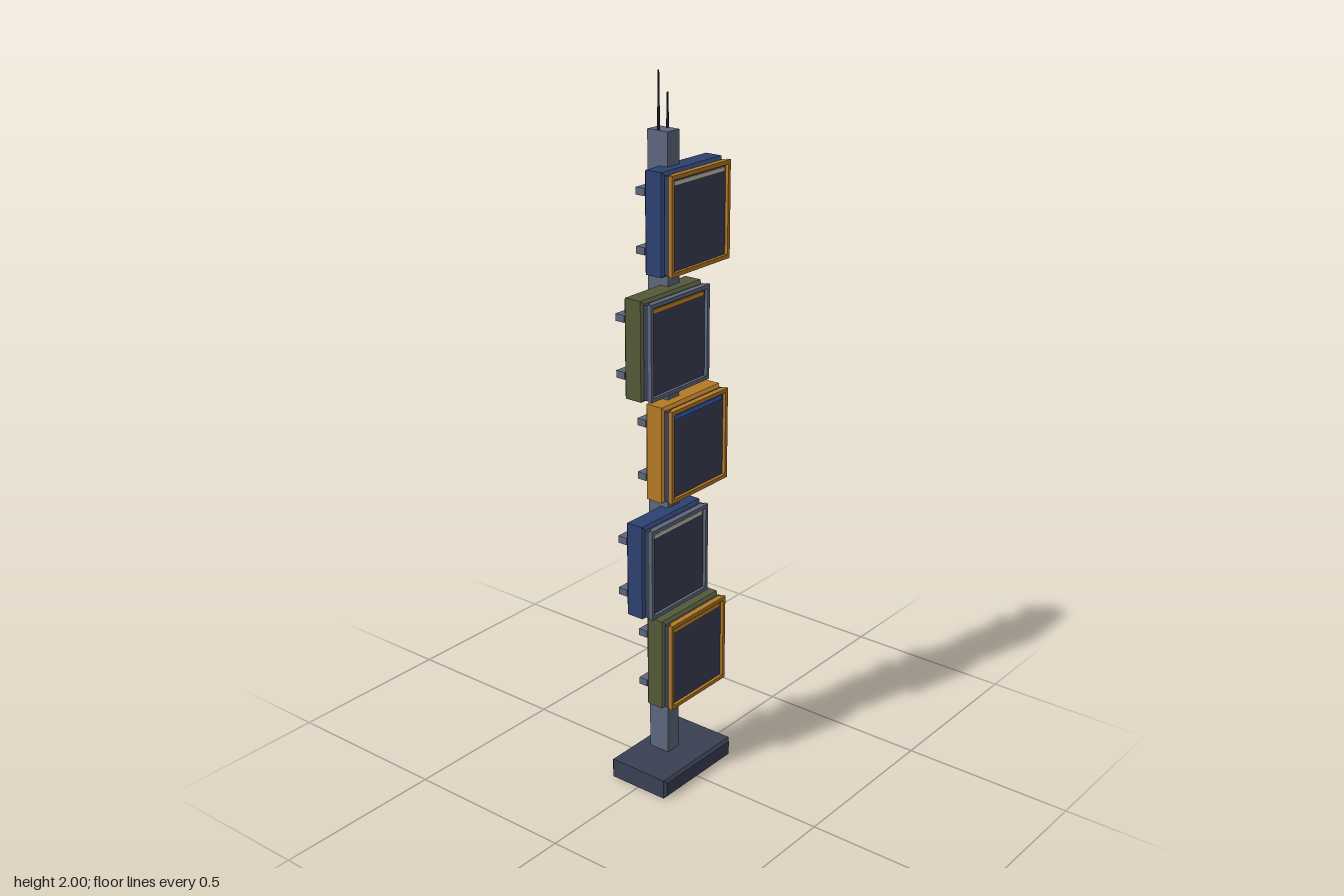
import * as THREE from 'three';

const mat = (name, color) => {
  const m = new THREE.MeshStandardMaterial({ color });
  m.name = name;
  return m;
};

export function createModel() {
  const M = {
    dark: mat('dark slate', 0x3a4054),
    grey: mat('steel grey', 0x5d677d),
    navy: mat('navy', 0x2d4070),
    olive: mat('olive', 0x535938),
    amber: mat('amber', 0xb47a26),
    orange: mat('bright orange', 0xd08c22),
    cream: mat('cream', 0xc9c5b2),
    blue: mat('bright blue', 0x3565c0),
    black: mat('cable black', 0x1e2027),
  };
  const model = new THREE.Group();
  model.name = 'signalTower';

  const add = (parent, name, geometry, material, x = 0, y = 0, z = 0) => {
    const mesh = new THREE.Mesh(geometry, material);
    mesh.name = name;
    mesh.position.set(x, y, z);
    parent.add(mesh);
    return mesh;
  };
  const box = (w, h, d) => new THREE.BoxGeometry(w, h, d);

  // Box with a single flat chamfer on every edge
  const chamferBox = (w, h, d, c) => {
    const a = w / 2 - c, b = h / 2 - c;
    const shape = new THREE.Shape([[-a, -b], [a, -b], [a, b], [-a, b]].map(p => new THREE.Vector2(...p)));
    const g = new THREE.ExtrudeGeometry(shape, {
      depth: d - 2 * c, bevelEnabled: true, bevelSegments: 1, bevelSize: c, bevelThickness: c,
    });
    return g.translate(0, 0, c - d / 2);
  };

  // Straight round cable section between two points
  const rod = (parent, name, a, b, r) => {
    const dir = b.clone().sub(a);
    const mesh = add(parent, name, new THREE.CylinderGeometry(r, r, dir.length(), 8), M.black);
    mesh.position.copy(a).lerp(b, 0.5);
    mesh.quaternion.setFromUnitVectors(new THREE.Vector3(0, 1, 0), dir.normalize());
  };

  // Base and post
  add(model, 'base', chamferBox(0.3, 0.057, 0.2, 0.008), M.dark, 0, 0.0285, 0);
  add(model, 'post', box(0.048, 1.797, 0.066), M.grey, 0, 0.9515, -0.026);

  // Antennas on top of the post
  for (const [x, top] of [[-0.018, 2], [0.018, 1.94]]) {
    const h = top - 1.84;
    add(model, 'antenna', new THREE.CylinderGeometry(0.002, 0.004, h, 8), M.black, x, 1.84 + h / 2, -0.027);
  }

  // Staggered cabinets: side, centre height, body, frame and stripe colours
  const cabinets = [
    [1, 0.372, M.olive, M.amber, M.orange],
    [-1, 0.687, M.navy, M.grey, M.cream],
    [1, 1.0, M.amber, M.amber, M.blue],
    [-1, 1.312, M.olive, M.grey, M.orange],
    [1, 1.625, M.navy, M.amber, M.cream],
  ];
  for (const [side, y, body, frame, stripe] of cabinets) {
    const g = new THREE.Group();
    g.name = 'cabinet';
    g.position.set(side * 0.042, y, 0);
    model.add(g);

    add(g, 'cabinetBody', chamferBox(0.247, 0.272, 0.066, 0.008), body, 0, 0, 0.007);
    add(g, 'doorPanel', box(0.241, 0.256, 0.016), M.dark, 0, 0, 0.048);
    add(g, 'doorStripe', box(0.207, 0.011, 0.004), stripe, 0, 0.108, 0.057);

    // Door frame and rear mounting rails
    for (const s of [-1, 1]) {
      add(g, 'frameBar', box(0.222, 0.011, 0.017), frame, 0, s * 0.1255, 0.0565);
      add(g, 'frameSide', box(0.01, 0.262, 0.01), frame, s * 0.116, 0, 0.06);
      add(g, 'mountingRail', box(0.24, 0.02, 0.028), M.grey, 0, s * 0.077, -0.039);
    }

    // Cable from the underside to the back of the post
    const a = new THREE.Vector3(0.073, -0.128, -0.024);
    const b = new THREE.Vector3(0.064, -0.174, -0.046);
    const c = new THREE.Vector3(-side * 0.042, -0.158, -0.065);
    rod(g, 'cableDrop', a, b, 0.006);
    rod(g, 'cableRun', b, c, 0.006);
    add(g, 'cableElbow', new THREE.SphereGeometry(0.006, 8, 6), M.black, b.x, b.y, b.z);
  }
  return model;
}
